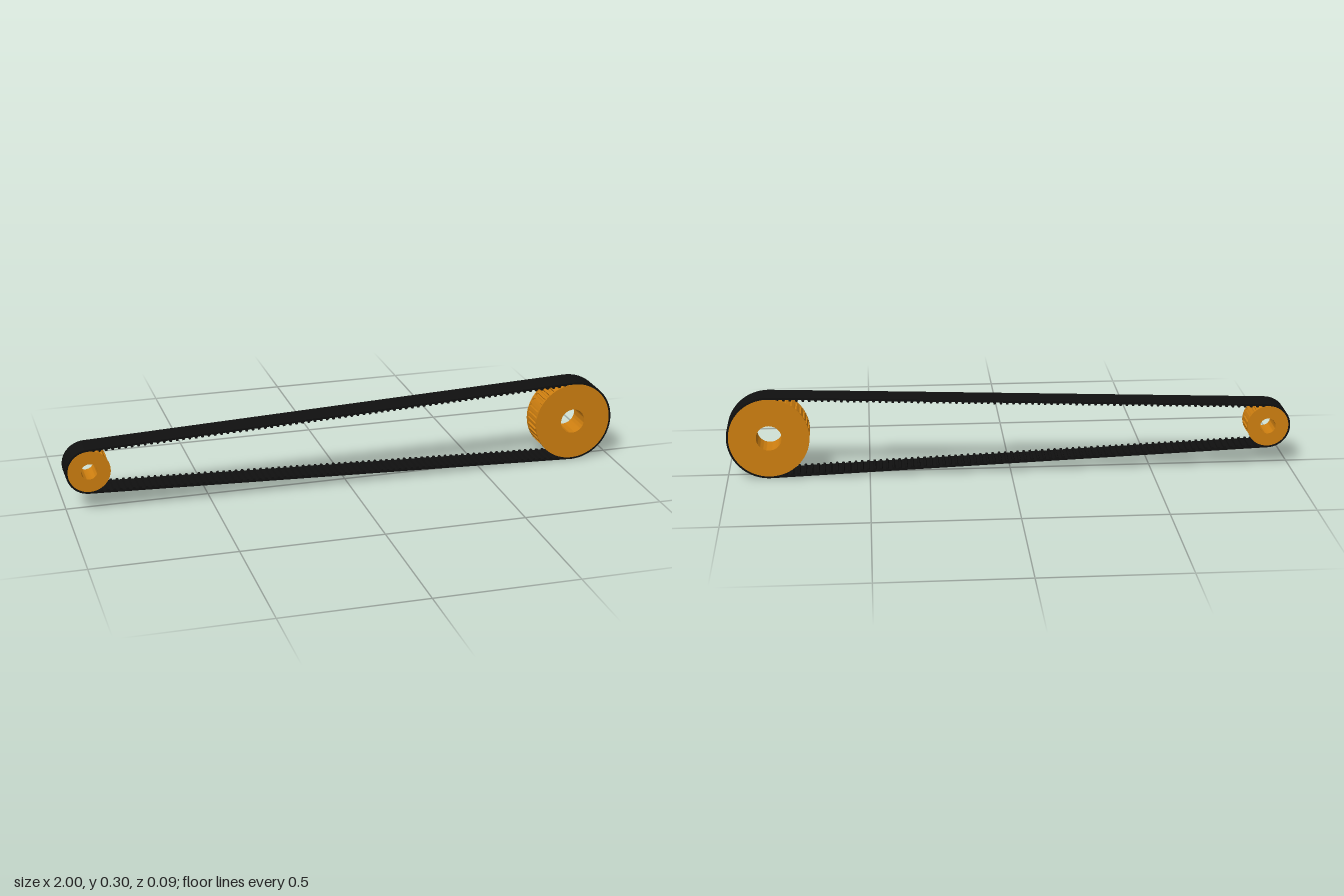
import * as THREE from 'three';
import { toCreasedNormals } from 'three/addons/utils/BufferGeometryUtils.js';

const CY = 0.149, HALF = 0.0475, FLANGE = 0.006;
const SMALL = { x: -0.919, r: 0.074, bore: 0.028, teeth: 20 };
const BIG = { x: 0.851, r: 0.142, bore: 0.045, teeth: 40 };
const BACKING = 0.007, TOOTH = 0.006;

// Extrude a flat outline between two depths, keeping sharp edges
function slab(shape, z0, z1) {
  const g = new THREE.ExtrudeGeometry(shape, { depth: z1 - z0, bevelEnabled: false, curveSegments: 48 });
  g.translate(0, 0, z0);
  return toCreasedNormals(g, 0.35);
}

function withBore(shape, r) {
  shape.holes.push(new THREE.Path().absarc(0, 0, r, 0, Math.PI * 2, true));
  return shape;
}

// Toothed hub between two thin flange discs, bored through
function pulley({ x, r, bore, teeth }, name, mat) {
  const group = new THREE.Group();
  group.name = name;
  group.position.set(x, CY, 0);
  const pts = [], step = Math.PI * 2 / teeth;
  for (let i = 0; i < teeth; i++) {
    for (const [f, d] of [[0, 0], [0.5, 0], [0.58, TOOTH], [0.92, TOOTH]]) {
      const a = (i + f) * step, q = r - 0.001 - d;
      pts.push(new THREE.Vector2(q * Math.cos(a), q * Math.sin(a)));
    }
  }
  const add = (part, shape, z0, z1) => {
    const mesh = new THREE.Mesh(slab(withBore(shape, bore), z0, z1), mat);
    mesh.name = part;
    group.add(mesh);
  };
  const disc = () => new THREE.Shape().absarc(0, 0, r, 0, Math.PI * 2, false);
  add('toothedHub', new THREE.Shape(pts), -HALF + FLANGE, HALF - FLANGE);
  add('frontFlange', disc(), HALF - FLANGE, HALF);
  add('backFlange', disc(), -HALF, -HALF + FLANGE);
  return group;
}

// Point at distance s along the belt loop, moved outward by an offset
function beltPath() {
  const span = BIG.x - SMALL.x;
  const theta = Math.PI / 2 + Math.asin((BIG.r - SMALL.r) / span);
  const run = Math.sqrt(span ** 2 - (BIG.r - SMALL.r) ** 2);
  const bigArc = 2 * theta * BIG.r, smallArc = 2 * (Math.PI - theta) * SMALL.r;
  const length = bigArc + smallArc + 2 * run;
  const at = (s, off) => {
    let c = BIG, a = -theta, along = 0;
    if (s < bigArc) a += s / BIG.r;
    else if ((s -= bigArc) < run) { a = theta; along = s; }
    else if ((s -= run) < smallArc) { c = SMALL; a = theta + s / SMALL.r; }
    else { c = SMALL; a = -theta; along = s - smallArc; }
    const q = c.r + off;
    return new THREE.Vector2(
      c.x + q * Math.cos(a) - along * Math.sin(a),
      CY + q * Math.sin(a) + along * Math.cos(a));
  };
  return { at, length };
}

// Closed belt with a smooth back and teeth facing inward
function belt(mat) {
  const { at, length } = beltPath();
  const n = Math.round(length / (Math.PI * 2 * BIG.r / BIG.teeth));
  const outer = [], inner = [];
  for (let i = 0; i < n; i++) {
    for (const [f, d] of [[0, 0], [0.5, 0], [0.6, TOOTH], [0.9, TOOTH]]) {
      const s = (i + f) / n * length;
      outer.push(at(s, BACKING));
      inner.push(at(s, -d));
    }
  }
  const shape = new THREE.Shape(outer);
  shape.holes.push(new THREE.Path(inner.reverse()));
  const mesh = new THREE.Mesh(slab(shape, -HALF + 0.0006, HALF - 0.0006), mat);
  mesh.name = 'toothedBelt';
  return mesh;
}

export function createModel() {
  const brass = new THREE.MeshStandardMaterial({ color: 0xd08010 });
  brass.name = 'orangeBrass';
  const rubber = new THREE.MeshStandardMaterial({ color: 0x101010 });
  rubber.name = 'blackRubber';
  const model = new THREE.Group();
  model.name = 'beltDrive';
  model.add(pulley(SMALL, 'smallPulley', brass), pulley(BIG, 'largePulley', brass), belt(rubber));
  return model;
}
